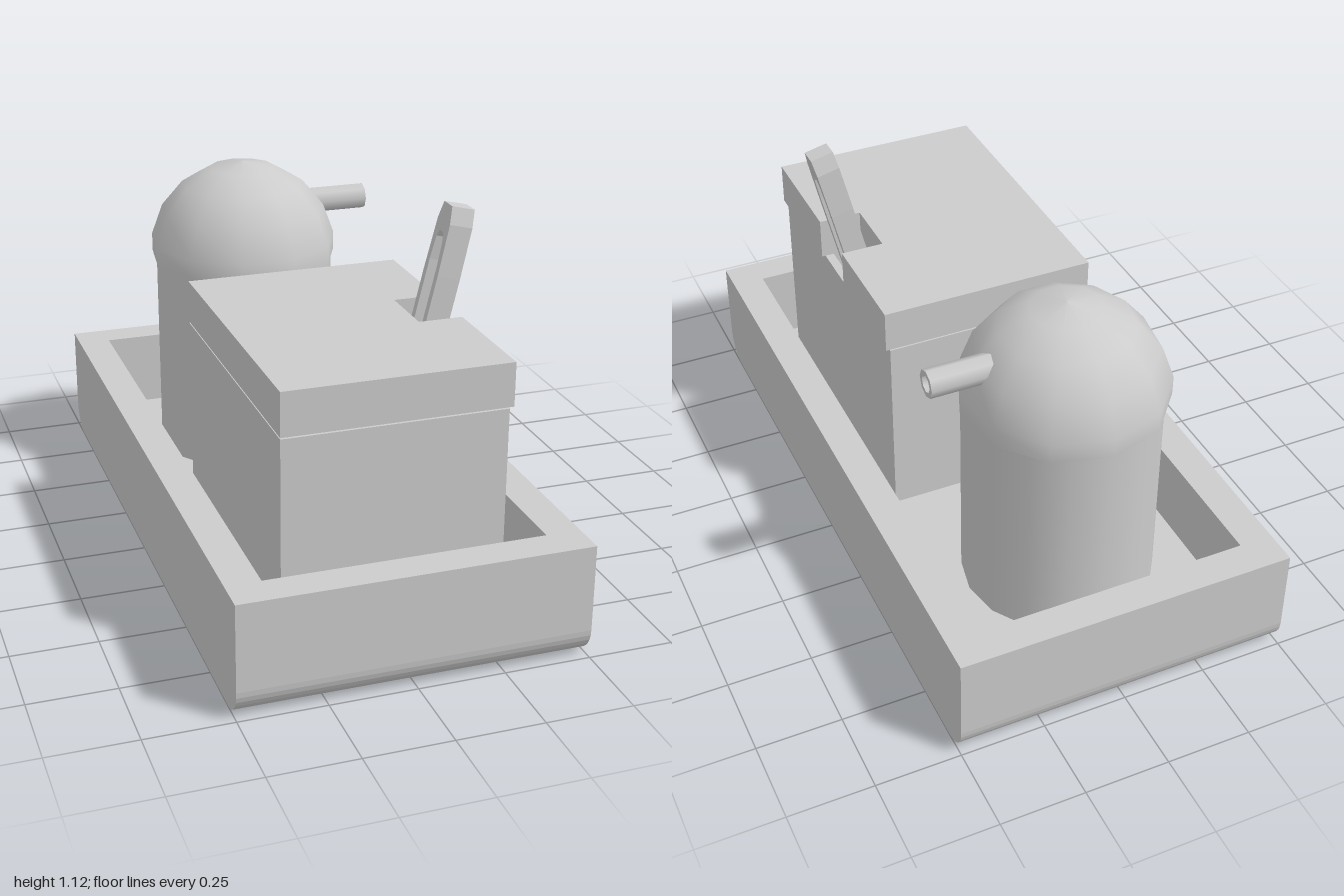
import * as THREE from 'three';

const material = new THREE.MeshStandardMaterial({ color: 0xcccccc });

function part(parent, name, geometry, x = 0, y = 0, z = 0) {
  const mesh = new THREE.Mesh(geometry, material);
  mesh.name = name;
  mesh.position.set(x, y, z);
  parent.add(mesh);
  return mesh;
}

const polygon = (points) => new THREE.Shape(points.map(([a, b]) => new THREE.Vector2(a, b)));

const extrude = (shape, depth, curveSegments = 4) =>
  new THREE.ExtrudeGeometry(shape, { depth, bevelEnabled: false, curveSegments });

// Plan outline (x, -z) raised upwards from y = 0
const raise = (shape, height) => extrude(shape, height).rotateX(-Math.PI / 2);

// Side outline (z, y) swept along x and centred on it
const sweepX = (shape, width) =>
  extrude(shape, width).translate(0, 0, -width / 2).rotateY(Math.PI / 2);

// Hull side outline: rounded lower corners, optionally with the open well cut out
function hullOutline(withWell) {
  const r = 0.085, top = 0.34;
  const s = new THREE.Shape();
  s.moveTo(-1 + r, 0);
  s.lineTo(1 - r, 0);
  s.absarc(1 - r, r, r, -Math.PI / 2, 0, false);
  s.lineTo(1, top);
  if (withWell) {
    s.lineTo(0.9, top);
    s.lineTo(0.9, 0.1);
    s.lineTo(-0.9, 0.1);
    s.lineTo(-0.9, top);
  }
  s.lineTo(-1, top);
  s.lineTo(-1, r);
  s.absarc(-1 + r, r, r, Math.PI, Math.PI * 1.5, false);
  return s;
}

export function createModel() {
  const model = new THREE.Group();
  model.name = 'switchUnit';

  // Open tray: floor with end walls, and two side walls
  const tray = new THREE.Group();
  tray.name = 'tray';
  model.add(tray);
  part(tray, 'trayFloorAndEnds', sweepX(hullOutline(true), 0.8));
  for (const side of [-1, 1]) {
    part(tray, side > 0 ? 'leftWall' : 'rightWall', sweepX(hullOutline(false), 0.1), side * 0.45);
  }

  // Hollow box standing on the tray floor
  const boxShape = polygon([[-0.32, -0.81], [0.317, -0.81], [0.317, 0.085], [-0.32, 0.085]]);
  boxShape.holes.push(polygon([[-0.29, -0.78], [-0.29, 0.055], [0.29, 0.055], [0.29, -0.78]]));
  part(model, 'box', raise(boxShape, 0.584), 0, 0.1);

  // Lid with a notch for the lever
  const lidShape = polygon([
    [-0.32, -0.81], [0.33, -0.81], [0.33, -0.45], [0.2, -0.45],
    [0.2, -0.26], [0.33, -0.26], [0.33, 0.085], [-0.32, 0.085],
  ]);
  part(model, 'lid', raise(lidShape, 0.127), 0, 0.688);

  // Leaning slotted lever, its origin at the top
  const leverShape = polygon([
    [-0.05, -0.63], [-0.028, -0.63], [-0.028, -0.17], [-0.022, -0.1], [-0.012, -0.08],
    [0.012, -0.08], [0.022, -0.1], [0.028, -0.17], [0.028, -0.63], [0.05, -0.63],
    [0.049, -0.2], [0.043, -0.05], [0.028, 0], [-0.028, 0], [-0.043, -0.05], [-0.049, -0.2],
  ]);
  const lever = part(model, 'lever', sweepX(leverShape, 0.07), 0.349, 1.113, 0.362);
  lever.rotation.z = -0.237;

  // Round post
  part(model, 'post', new THREE.CylinderGeometry(0.284, 0.284, 0.65, 16), -0.022, 0.425, -0.52);

  // Eleven-sided dome cap with a short straight skirt
  const dome = [new THREE.Vector2(0.298, 0)];
  for (let i = 4; i >= 0; i--) {
    const a = (i * Math.PI) / 9;
    dome.push(new THREE.Vector2(0.303 * Math.sin(a), 0.006 + 0.303 * Math.cos(a)));
  }
  part(model, 'dome', new THREE.LatheGeometry(dome, 11, Math.PI), -0.022, 0.735, -0.524);
  const underside = new THREE.CircleGeometry(0.298, 11, -Math.PI / 2).rotateX(Math.PI / 2);
  part(model, 'domeUnderside', underside, -0.022, 0.735, -0.524);

  // Short spout with a recessed mouth
  const spout = [[0.041, 0], [0.041, 0.285], [0.041, 0.285], [0.026, 0.285], [0.026, 0.285], [0.026, 0.235], [0, 0.235]];
  const spoutGeometry = new THREE.LatheGeometry(spout.map(([r, y]) => new THREE.Vector2(r, y)), 8);
  part(model, 'spout', spoutGeometry.rotateZ(-Math.PI / 2), 0.1, 0.895, -0.52);

  return model;
}
